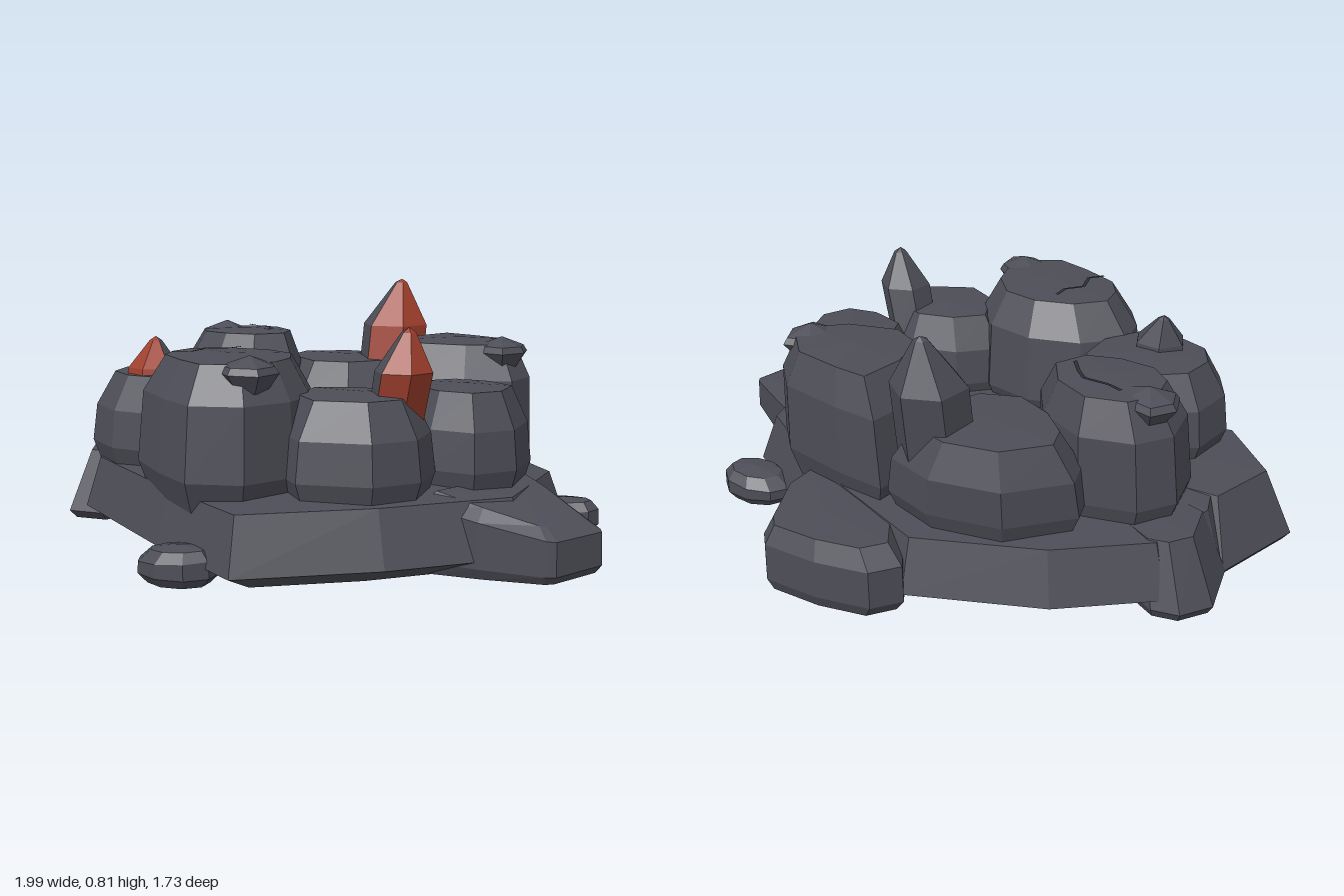
import * as THREE from 'three';

const stone = new THREE.MeshStandardMaterial({ color: 0x4c4d56 });
const ember = new THREE.MeshStandardMaterial({ color: 0x9e3e2c });
const crackDark = new THREE.MeshStandardMaterial({ color: 0x2e2e35 });
stone.name = 'stone';
ember.name = 'ember';
crackDark.name = 'crackDark';

// Closed faceted solid from stacked rings; isRed(normal) sends a face to the second material
function skin(rings, bottom, top, isRed) {
  const grey = [], red = [], n = rings[0].length;
  const tri = (a, b, c) => {
    const nor = b.clone().sub(a).cross(c.clone().sub(a)).normalize();
    const out = isRed && isRed(nor) ? red : grey;
    for (const p of [a, b, c]) out.push(p.x, p.y, p.z);
  };
  for (let i = 0; i < n; i++) {
    const j = (i + 1) % n;
    tri(bottom, rings[0][i], rings[0][j]);
    for (let k = 0; k < rings.length - 1; k++) {
      const lo = rings[k], hi = rings[k + 1];
      tri(lo[i], hi[i], lo[j]);
      tri(lo[j], hi[i], hi[j]);
    }
    const last = rings[rings.length - 1];
    tri(top, last[j], last[i]);
  }
  const geo = new THREE.BufferGeometry();
  geo.setAttribute('position', new THREE.Float32BufferAttribute([...grey, ...red], 3));
  geo.computeVertexNormals();
  if (isRed) {
    geo.addGroup(0, grey.length / 3, 0);
    geo.addGroup(grey.length / 3, red.length / 3, 1);
  }
  return geo;
}

// Rock from a plan outline [x, z] and levels [y, scale, shiftX, shiftZ, slope along x]
function rock(name, outline, levels, crown = 0.01) {
  let area = 0, cx = 0, cz = 0;
  outline.forEach(([x, z], i) => {
    const [x2, z2] = outline[(i + 1) % outline.length];
    area += x * z2 - x2 * z;
    cx += x / outline.length;
    cz += z / outline.length;
  });
  const pts = area > 0 ? outline : [...outline].reverse();
  const rings = levels.map(([y, s, dx = 0, dz = 0, slope = 0]) => pts.map(([x, z]) =>
    new THREE.Vector3(cx + (x - cx) * s + dx, y + slope * (x - cx) * s, cz + (z - cz) * s + dz)));
  const [y0] = levels[0], [y1, , dx = 0, dz = 0] = levels[levels.length - 1];
  const mesh = new THREE.Mesh(skin(rings, new THREE.Vector3(cx, y0, cz),
    new THREE.Vector3(cx + dx, y1 + crown, cz + dz)), stone);
  mesh.name = name;
  return mesh;
}

// Six-sided horn through rings [x, y, z, radius], red on the faces turned towards dir
function horn(name, path, tip, dir, limit, turn) {
  const rings = path.map(([x, y, z, r]) => Array.from({ length: 6 }, (_, i) => {
    const a = turn + i * Math.PI / 3;
    return new THREE.Vector3(x + r * Math.cos(a), y, z + r * Math.sin(a));
  }));
  const d = new THREE.Vector2(...dir).normalize();
  const isRed = (n) => new THREE.Vector2(n.x, n.z).normalize().dot(d) > limit && n.y > -0.6;
  const [bx, by, bz] = path[0];
  const mesh = new THREE.Mesh(skin(rings, new THREE.Vector3(bx, by, bz), new THREE.Vector3(...tip), isRed), [stone, ember]);
  mesh.name = name;
  return mesh;
}

// Flat zigzag ribbon lying on a rock top
function crack(name, y, points) {
  const w = 0.006, pos = [];
  for (let i = 0; i < points.length - 1; i++) {
    const [ax, az] = points[i], [bx, bz] = points[i + 1];
    const l = Math.hypot(bx - ax, bz - az), px = -(bz - az) / l * w, pz = (bx - ax) / l * w;
    const q = [[ax + px, az + pz], [bx + px, bz + pz], [bx - px, bz - pz], [ax - px, az - pz]];
    for (const k of [0, 1, 2, 0, 2, 3]) pos.push(q[k][0], y, q[k][1]);
  }
  const geo = new THREE.BufferGeometry();
  geo.setAttribute('position', new THREE.Float32BufferAttribute(pos, 3));
  geo.computeVertexNormals();
  const mesh = new THREE.Mesh(geo, crackDark);
  mesh.name = name;
  return mesh;
}

// Boulder profile: tucked foot, slightly tapered wall, wide chamfer
const boulderLevels = (top, dx = 0, dz = 0) => [
  [0.2, 0.86], [0.3, 1], [top - 0.11, 0.94, dx / 2, dz / 2], [top, 0.7, dx, dz]];

export function createModel() {
  const model = new THREE.Group();
  model.name = 'rockCluster';

  // Ground slab and the slabs leaning on its rim
  model.add(
    rock('baseSlab', [[-0.3, -0.69], [-0.67, -0.47], [-0.9, -0.22], [-0.92, 0.05], [-0.78, 0.35], [-0.59, 0.61],
      [0, 0.72], [0.42, 0.77], [0.64, 0.4], [0.81, -0.01], [0.64, -0.4], [0.27, -0.56]],
    [[0, 0.78], [0.08, 1], [0.245, 0.93]], 0.035),
    rock('rightSlab', [[0.55, -0.3], [0.7, -0.25], [0.97, -0.13], [0.99, -0.11], [0.98, 0.08], [0.96, 0.1], [0.75, 0.15], [0.55, 0.18]],
      [[0.035, 0.9, 0, 0, 0.1], [0.065, 1, 0, 0, 0.06], [0.19, 0.98, 0, 0, -0.1], [0.225, 0.8, -0.02, 0, -0.16]], 0.005),
    rock('backSlab', [[-0.31, -0.69], [-0.26, -0.78], [-0.1, -0.84], [0.08, -0.87], [0.13, -0.83], [0.26, -0.63], [0.28, -0.5], [-0.1, -0.45]],
      [[0.02, 0.9], [0.06, 1], [0.18, 0.99], [0.24, 0.82]], 0.005),
    rock('leftSlab', [[-0.93, 0.06], [-0.98, 0.39], [-0.67, 0.63], [-0.56, 0.57], [-0.6, 0.2], [-0.75, 0.03]],
      [[0.02, 0.9], [0.05, 1], [0.25, 0.72, 0.03]], 0.005),
    rock('leftShard', [[-1, -0.12], [-0.95, -0.22], [-0.87, -0.25], [-0.6, -0.15], [-0.6, 0.12], [-0.93, 0.07]],
      [[0.02, 0.9], [0.05, 1], [0.25, 0.72, 0.04]], 0.005),
  );

  // Loose pebbles at the rim
  [['frontPebble', 0.175, 0.765], ['backPebble', 0.525, -0.515]].forEach(([name, x, z], i) => {
    const plan = Array.from({ length: 9 }, (_, k) => {
      const a = k * Math.PI * 2 / 9 + i;
      return [x + 0.125 * Math.cos(a), z + (0.1 - 0.01 * i) * Math.sin(a) - 0.02 * Math.cos(a)];
    });
    model.add(rock(name, plan, [[0.022, 0.75], [0.05, 0.98], [0.09, 0.97, 0, 0, 0.08], [0.122, 0.7, 0.01, 0, 0.06]], 0.01));
  });

  // Ring of boulders
  model.add(
    rock('frontBoulder', [[-0.33, 0.42], [-0.23, 0.28], [-0.06, 0.2], [0.12, 0.21], [0.26, 0.33], [0.32, 0.46],
      [0.31, 0.63], [0.18, 0.74], [0, 0.71], [-0.2, 0.65], [-0.29, 0.55]], boulderLevels(0.63, 0.02)),
    rock('frontLeftBoulder', [[-0.69, 0.28], [-0.56, 0.14], [-0.38, 0.1], [-0.21, 0.16], [-0.18, 0.36], [-0.26, 0.55],
      [-0.42, 0.61], [-0.6, 0.57], [-0.69, 0.45]], boulderLevels(0.53)),
    rock('leftBoulder', [[-0.82, -0.06], [-0.76, -0.18], [-0.6, -0.25], [-0.42, -0.19], [-0.31, -0.06], [-0.36, 0.09],
      [-0.5, 0.16], [-0.66, 0.17], [-0.77, 0.1]], boulderLevels(0.63, 0.01, -0.03)),
    rock('backLeftBoulder', [[-0.65, -0.31], [-0.52, -0.5], [-0.3, -0.58], [-0.12, -0.55], [-0.06, -0.35], [-0.12, -0.14],
      [-0.28, -0.05], [-0.46, -0.1], [-0.6, -0.2]], boulderLevels(0.53, -0.02, -0.04)),
    rock('backRightBoulder', [[-0.1, -0.35], [-0.1, -0.56], [0.06, -0.57], [0.3, -0.56], [0.43, -0.46], [0.46, -0.33],
      [0.36, -0.2], [0.14, -0.1], [-0.03, -0.16]], boulderLevels(0.63, 0.01, -0.02)),
    rock('rightBoulder', [[0.23, -0.1], [0.28, -0.24], [0.44, -0.3], [0.6, -0.26], [0.68, -0.1], [0.64, 0.04],
      [0.5, 0.09], [0.32, 0.06]], boulderLevels(0.53)),
    rock('frontRightBoulder', [[0.1, 0.26], [0.2, 0.13], [0.36, 0.06], [0.53, 0.09], [0.61, 0.23], [0.57, 0.38],
      [0.39, 0.51], [0.22, 0.45]], boulderLevels(0.53)),
  );

  // Horns with glowing inner faces
  model.add(
    horn('backHorn', [[-0.22, 0.42, -0.44, 0.12], [-0.22, 0.65, -0.47, 0.118], [-0.22, 0.8, -0.5, 0.022]],
      [-0.22, 0.812, -0.505], [1, 0.25], 0.4, Math.PI / 2),
    horn('rightHorn', [[0.43, 0.42, 0.165, 0.085], [0.485, 0.6, 0.18, 0.088], [0.5, 0.715, 0.175, 0.022]],
      [0.5, 0.73, 0.175], [0.8, 0.6], 0.55, Math.PI / 6),
    horn('leftHorn', [[-0.42, 0.46, 0.44, 0.095], [-0.425, 0.55, 0.435, 0.085], [-0.445, 0.635, 0.415, 0.02]],
      [-0.447, 0.648, 0.413], [0.5, 0.87], 0.55, 0),
  );

  // Small pointed knobs on the tall boulders
  [['leftKnob', -0.715, -0.08, 0.11, 0.09], ['frontKnob', 0.24, 0.55, 0.1, 0.105], ['backKnob', 0.365, -0.385, 0.095, 0.1]]
    .forEach(([name, x, z, rx, rz], i) => {
      const plan = Array.from({ length: 6 }, (_, k) => {
        const a = k * Math.PI / 3 + i * 0.4, r = k % 2 ? 0.85 : 1;
        return [x + rx * r * Math.cos(a), z + rz * r * Math.sin(a)];
      });
      model.add(rock(name, plan, [[0.55, 0.55], [0.605, 1], [0.625, 0.85]], 0.03));
    });

  // Surface cracks
  model.add(
    crack('frontCrack', 0.641, [[-0.06, 0.35], [-0.05, 0.41], [-0.085, 0.47], [-0.05, 0.55], [-0.08, 0.6]]),
    crack('leftCrack', 0.641, [[-0.65, -0.13], [-0.6, -0.12], [-0.52, -0.13], [-0.48, -0.1], [-0.43, -0.05]]),
  );
  return model;
}
